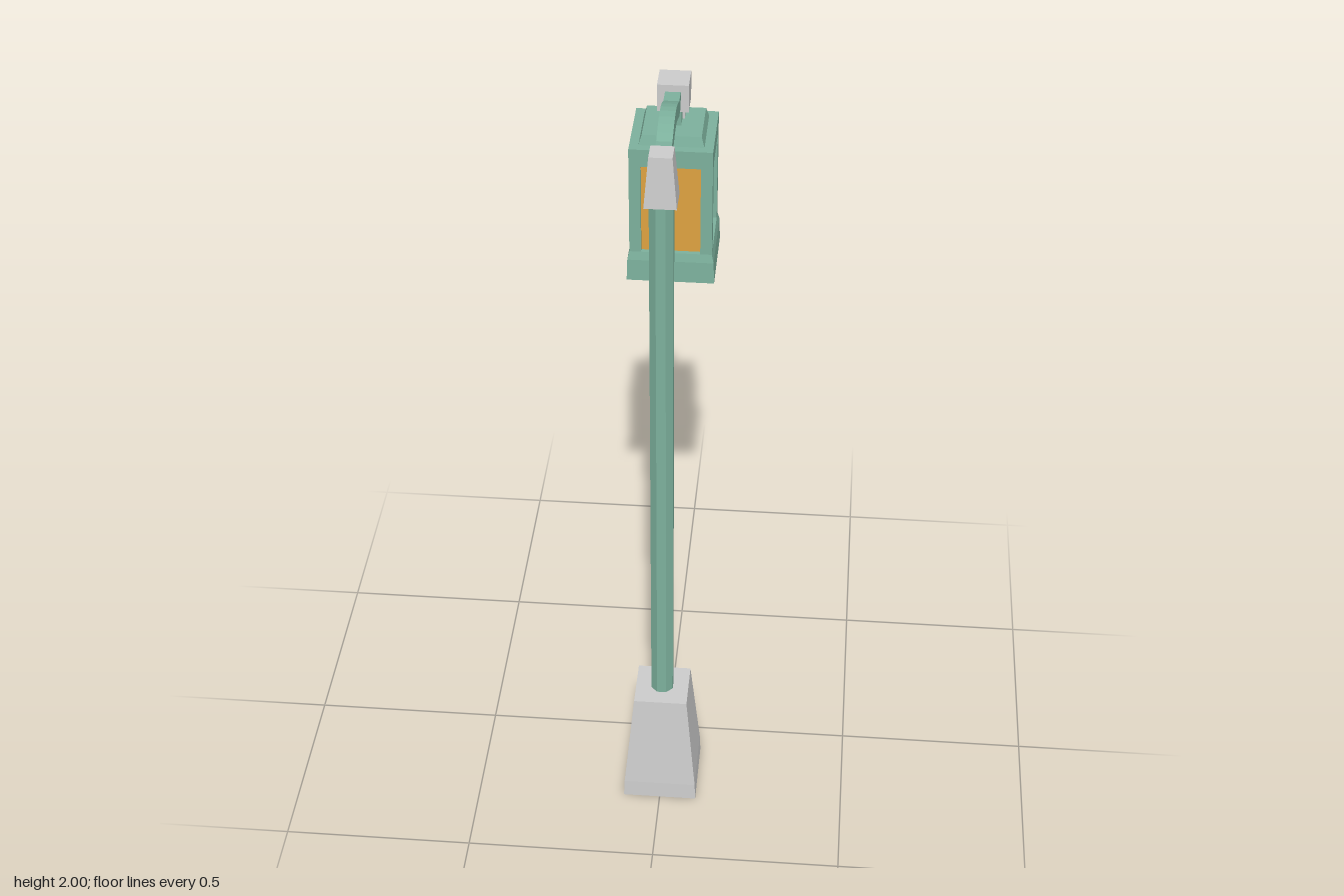
import * as THREE from 'three';

const grey = new THREE.MeshStandardMaterial({ color: 0xcccccc, flatShading: true });
const green = new THREE.MeshStandardMaterial({ color: 0x7cb09c, flatShading: true });
const amber = new THREE.MeshStandardMaterial({ color: 0xdea240, flatShading: true });

const POST_Z = 0.183;
const LAMP_Z = -0.173;

function add(parent, name, geometry, material, x = 0, y = 0, z = 0) {
  const flat = geometry.index ? geometry.toNonIndexed() : geometry;
  flat.computeVertexNormals();
  const mesh = new THREE.Mesh(flat, material);
  mesh.name = name;
  mesh.position.set(x, y, z);
  parent.add(mesh);
  return mesh;
}

// Closed faceted solid from [half width, y] pairs, bottom to top
function prism(profile, sides = 4) {
  const k = 1 / Math.cos(Math.PI / sides);
  const pts = profile.map(([r, y]) => new THREE.Vector2(r * k, y));
  pts.unshift(new THREE.Vector2(0, profile[0][1]));
  pts.push(new THREE.Vector2(0, profile[profile.length - 1][1]));
  return new THREE.LatheGeometry(pts, sides, Math.PI / sides);
}

export function createModel() {
  const model = new THREE.Group();
  model.name = 'streetLamp';

  // Post: tapered footing, octagonal pole and tapered cap
  const post = new THREE.Group();
  post.name = 'post';
  post.position.z = POST_Z;
  model.add(post);
  add(post, 'footing', prism([[0.099, 0], [0.097, 0.05], [0.071, 0.33]]), grey);
  add(post, 'pole', prism([[0.029, 0.32], [0.029, 1.88]], 8), green);
  add(post, 'poleCap', prism([[0.039, 1.86], [0.028, 1.99]]), grey);

  // Arched arm: a strip with a raised middle, extruded across x
  const top = [[0.165, 1.973], [0.105, 1.973]];
  for (let i = 1; i < 8; i++) {
    const t = i / 8;
    top.push([0.105 - 0.195 * t, 1.973 + 0.027 * Math.sin(Math.PI * t)]);
  }
  top.push([-0.09, 1.973], [-0.14, 1.973]);
  const bottom = top.map(([z, y]) => [z, y - 0.042]).reverse();
  const armShape = new THREE.Shape([...top, ...bottom].map(([z, y]) => new THREE.Vector2(-z, y)));
  const armGeometry = new THREE.ExtrudeGeometry(armShape, { depth: 0.038, bevelEnabled: false });
  armGeometry.translate(0, 0, -0.019);
  armGeometry.rotateY(Math.PI / 2);
  add(model, 'arm', armGeometry, green);

  // Lantern
  const lantern = new THREE.Group();
  lantern.name = 'lantern';
  lantern.position.z = LAMP_Z;
  model.add(lantern);
  add(lantern, 'hangerBlock', new THREE.BoxGeometry(0.077, 0.072, 0.077), grey, 0, 1.955, 0);
  add(lantern, 'hangerStem', new THREE.BoxGeometry(0.038, 0.06, 0.038), green, 0, 1.895, 0.001);
  add(lantern, 'hangerPlate', new THREE.BoxGeometry(0.05, 0.06, 0.018), grey, 0, 1.895, -0.025);
  add(lantern, 'roofStep', prism([[0.081, 1.845], [0.073, 1.872]]), green);
  add(lantern, 'lanternTop', prism([[0.103, 1.8], [0.103, 1.847]]), green);
  add(lantern, 'lanternBase', prism([[0.11, 1.477], [0.108, 1.535], [0.103, 1.557]]), green);
  add(lantern, 'glass', new THREE.BoxGeometry(0.182, 0.25, 0.182), amber, 0, 1.68, 0);
  for (const x of [-1, 1]) {
    for (const z of [-1, 1]) {
      add(lantern, 'cornerPost', new THREE.BoxGeometry(0.029, 0.25, 0.029), green,
        x * 0.0885, 1.68, z * 0.0885);
    }
  }
  return model;
}
